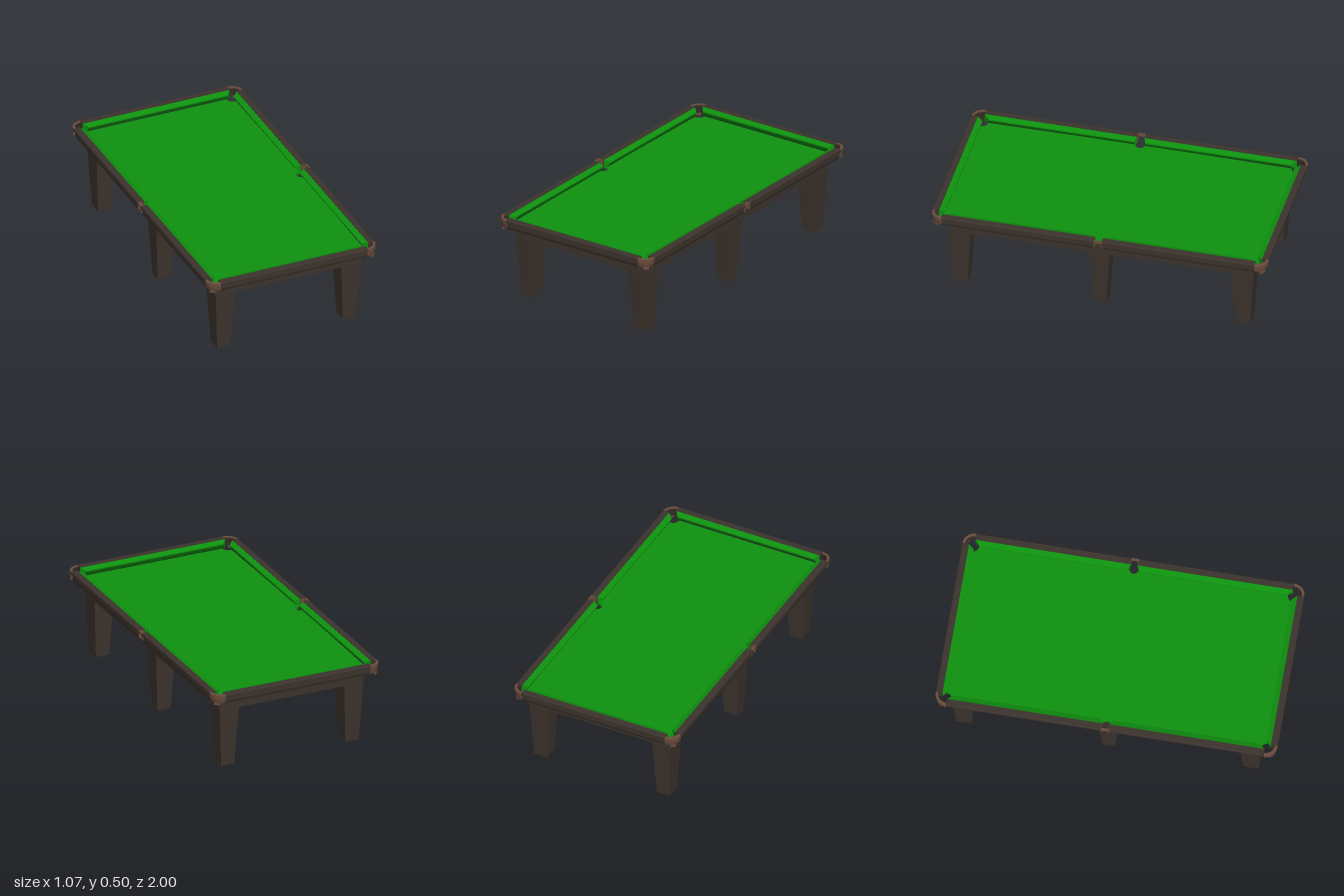
import * as THREE from 'three';
import { toCreasedNormals } from 'three/addons/utils/BufferGeometryUtils.js';

export function createModel() {
  const table = new THREE.Group();
  table.name = 'poolTable';

  const wood = new THREE.MeshStandardMaterial({ name: 'dark wood', color: 0x3c332c });
  const cloth = new THREE.MeshStandardMaterial({ name: 'green cloth', color: 0x0e920e });
  const casting = new THREE.MeshStandardMaterial({ name: 'brown casting', color: 0x6a4c3d, side: THREE.DoubleSide });
  const liner = new THREE.MeshStandardMaterial({ name: 'pocket liner', color: 0x332a25, side: THREE.DoubleSide });

  const add = (parent, name, geometry, material) => {
    const mesh = new THREE.Mesh(geometry, material);
    mesh.name = name;
    parent.add(mesh);
    return mesh;
  };
  const box = (parent, name, w, h, d, x, y, z, material) => {
    const mesh = add(parent, name, new THREE.BoxGeometry(w, h, d), material);
    mesh.position.set(x, y, z);
    return mesh;
  };

  // Solid cabinet under the playing bed
  box(table, 'cabinet', 0.92, 0.075, 1.815, 0, 0.4025, 0, wood);

  // Six legs tapering towards the floor
  const legShape = (topW, topD, baseW, baseD) => {
    const g = new THREE.BoxGeometry(topW, 0.37, topD);
    const p = g.attributes.position;
    for (let i = 0; i < p.count; i++) {
      if (p.getY(i) < 0) {
        p.setX(i, Math.sign(p.getX(i)) * baseW / 2);
        p.setZ(i, Math.sign(p.getZ(i)) * baseD / 2);
      }
    }
    g.computeVertexNormals();
    return g;
  };
  for (const sx of [-1, 1]) {
    for (const z of [-0.84, 0.008, 0.84]) {
      const middle = Math.abs(z) < 0.1;
      const g = middle ? legShape(0.122, 0.12, 0.085, 0.073) : legShape(0.122, 0.133, 0.085, 0.088);
      add(table, middle ? 'middleLeg' : 'cornerLeg', g, wood).position.set(sx * 0.397, 0.185, z);
    }
  }

  // Cloth bed with round notches for the six pockets
  const X = 0.505, Z = 0.97, r = 0.037, rs = 0.027;
  const bedPoints = [];
  const notch = (cx, cy, radius, from, to) => {
    for (let i = 0; i <= 10; i++) {
      const a = from + (to - from) * i / 10;
      bedPoints.push(new THREE.Vector2(cx + radius * Math.cos(a), cy + radius * Math.sin(a)));
    }
  };
  const q = Math.PI / 2;
  notch(X - 0.02, 0, rs, 3 * q + 0.1, q - 0.1);
  notch(X - 0.03, Z - 0.03, r, 3 * q + 0.1, 2 * q - 0.1);
  notch(-X + 0.03, Z - 0.03, r, 4 * q + 0.1, 3 * q - 0.1);
  notch(-X + 0.02, 0, rs, q + 0.1, -q - 0.1);
  notch(-X + 0.03, -Z + 0.03, r, q + 0.1, -0.1);
  notch(X - 0.03, -Z + 0.03, r, 2 * q + 0.1, q - 0.1);
  const bed = new THREE.ExtrudeGeometry(new THREE.Shape(bedPoints), { depth: 0.015, bevelEnabled: false });
  bed.rotateX(-Math.PI / 2);
  add(table, 'clothBed', bed, cloth).position.y = 0.44;

  // Straight profile run along z from a to b; mitres pull the inner edge back at each end
  const railInner = -0.04;
  const run = (profile, a, b, mitreA = 0, mitreB = 0) => {
    const g = new THREE.ExtrudeGeometry(
      new THREE.Shape(profile.map(([x, y]) => new THREE.Vector2(x, y))),
      { depth: b - a, bevelEnabled: false });
    const p = g.attributes.position;
    for (let i = 0; i < p.count; i++) {
      const inset = Math.max(0, railInner - p.getX(i));
      const atEnd = p.getZ(i) > (b - a) / 2;
      p.setZ(i, a + p.getZ(i) + inset * (atEnd ? -mitreB : mitreA));
    }
    g.computeVertexNormals();
    return g;
  };
  const railProfile = [[-0.04, 0.505], [-0.004, 0.505], [0, 0.501], [0, 0.487], [-0.008, 0.483],
    [-0.008, 0.462], [-0.014, 0.445], [-0.03, 0.441], [-0.04, 0.452]];
  const cushionProfile = [[-0.04, 0.503], [-0.072, 0.492], [-0.072, 0.484], [-0.05, 0.454], [-0.04, 0.454]];

  const addRail = (name, angle, offset, a, b, mitreA, mitreB) => {
    const side = new THREE.Group();
    side.name = name;
    side.rotation.y = angle;
    const rail = add(side, name + 'Wood', run(railProfile, a, b), wood);
    const cushion = add(side, name + 'Cushion', run(cushionProfile, a, b, mitreA, mitreB), cloth);
    rail.position.x = cushion.position.x = offset;
    table.add(side);
  };
  for (const angle of [0, Math.PI]) {
    addRail('sideRail', angle, 0.535, 0.022, 0.928, 0.35, 1);
    addRail('sideRail', angle, 0.535, -0.928, -0.022, 1, 0.35);
    addRail('endRail', angle - Math.PI / 2, 1, -0.464, 0.464, 0.8, 0.8);
  }

  // Rounded corner castings, each with a dark liner and a small foot
  const ring = [[0.054, 0.452], [0.062, 0.452], [0.068, 0.468], [0.07, 0.485], [0.07, 0.502],
    [0.067, 0.505], [0.054, 0.505], [0.054, 0.452]].map(([x, y]) => new THREE.Vector2(x, y));
  const lining = [[0.053, 0.452], [0.053, 0.498]].map(([x, y]) => new THREE.Vector2(x, y));
  for (let k = 0; k < 4; k++) {
    const corner = new THREE.Group();
    corner.name = 'cornerPocket';
    const mid = (k + 0.5) * q;
    corner.position.set(Math.sign(Math.sin(mid)) * 0.465, 0, Math.sign(Math.cos(mid)) * 0.93);
    add(corner, 'cornerCasting', toCreasedNormals(new THREE.LatheGeometry(ring, 14, k * q, q), 0.6), casting);
    add(corner, 'cornerLiner', new THREE.LatheGeometry(lining, 14, k * q, q), liner);
    const foot = box(corner, 'castingFoot', 0.034, 0.016, 0.01,
      0.058 * Math.sin(mid), 0.445, 0.058 * Math.cos(mid), casting);
    foot.rotation.y = mid;
    table.add(corner);
  }

  // Side pocket bridges joining the two rail halves
  for (const sx of [-1, 1]) {
    box(table, 'sidePocketBridge', 0.012, 0.016, 0.05, sx * 0.5285, 0.496, 0, casting);
    for (const sz of [-1, 1]) {
      box(table, 'sidePocketCheek', 0.034, 0.045, 0.004, sx * 0.516, 0.4805, sz * 0.022, casting);
    }
  }

  return table;
}
